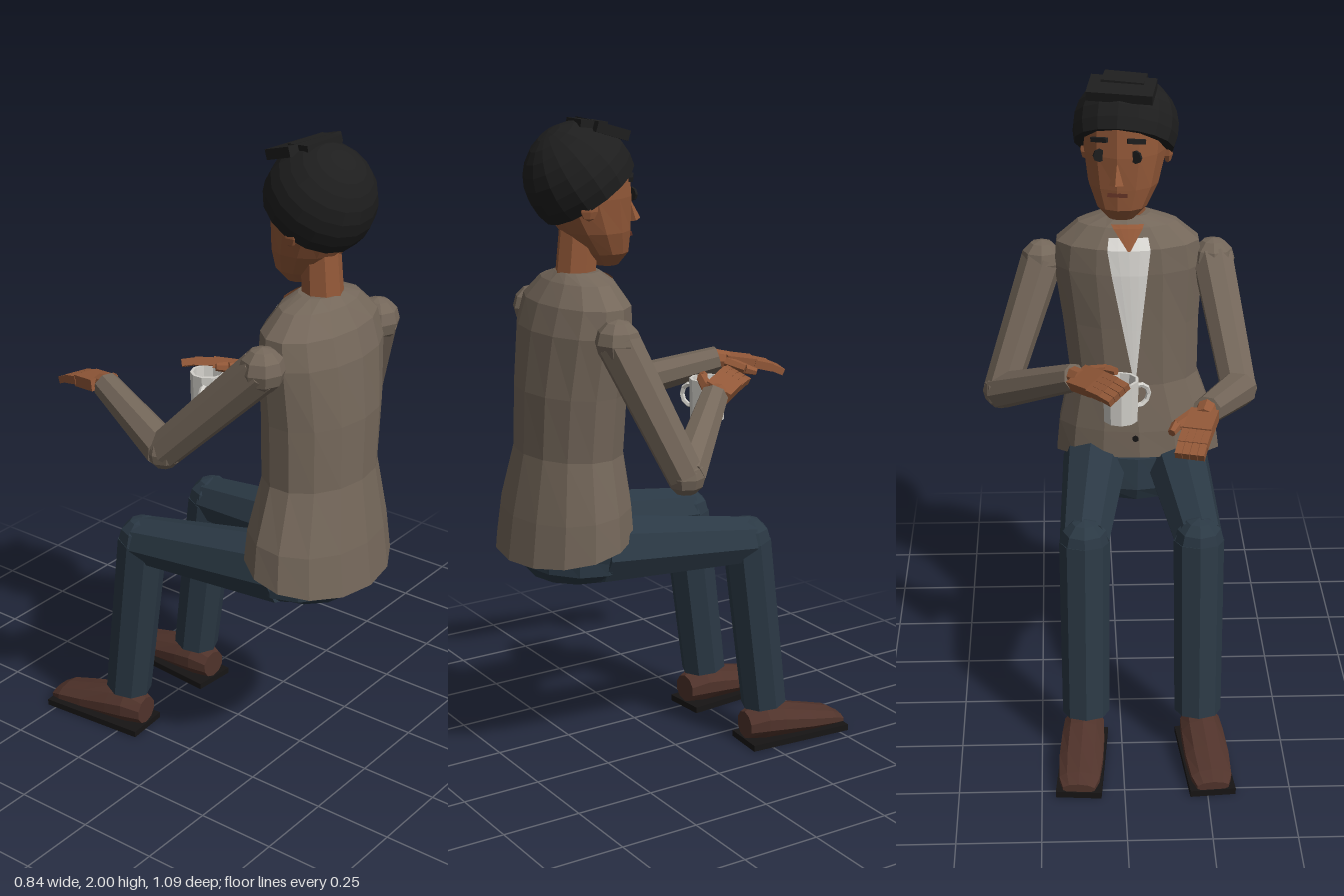
import * as THREE from 'three';

const V = (x, y, z) => new THREE.Vector3(x, y, z);
const mat = (name, color, side = THREE.FrontSide) => {
  const m = new THREE.MeshStandardMaterial({ color, side });
  m.name = name;
  return m;
};

// Torso rings: y, centre x, centre z, half width, half depth, backward tilt
const TORSO = [
  [0.75, -0.07, 0.355, 0.268, 0.19, 0.045],
  [0.86, -0.068, 0.35, 0.255, 0.178, 0.02],
  [1.03, -0.055, 0.345, 0.206, 0.15, 0],
  [1.22, -0.045, 0.342, 0.218, 0.15, 0],
  [1.40, -0.037, 0.33, 0.236, 0.142, 0],
  [1.48, -0.035, 0.32, 0.225, 0.128, 0],
  [1.54, -0.033, 0.318, 0.155, 0.09, 0],
  [1.565, -0.03, 0.32, 0.075, 0.062, 0],
];

// Depth of the torso front at a height and an offset from its middle
function torsoFront(dx, y) {
  let i = 0;
  while (i < TORSO.length - 2 && TORSO[i + 1][0] < y) i++;
  const a = TORSO[i], b = TORSO[i + 1], t = (y - a[0]) / (b[0] - a[0]);
  const [, cx, cz, rx, rz] = a.map((v, k) => v + (b[k] - v) * t);
  return V(cx + dx, y, cz - rz * Math.sqrt(Math.max(0, 1 - (dx / rx) ** 2)) - 0.004);
}

// Faceted normals
function facet(geo) {
  const g = geo.index ? geo.toNonIndexed() : geo;
  g.computeVertexNormals();
  return g;
}

// Closed skin over elliptical rings stacked along y
function loft(rings, sides) {
  const pos = [], idx = [], n = rings.length;
  for (const [y, cx, cz, rx, rz, tilt = 0] of rings)
    for (let i = 0; i < sides; i++) {
      const a = (i / sides) * Math.PI * 2;
      pos.push(cx + rx * Math.sin(a), y - tilt * Math.cos(a), cz + rz * Math.cos(a));
    }
  for (let r = 0; r < n - 1; r++)
    for (let i = 0; i < sides; i++) {
      const j = (i + 1) % sides, a = r * sides + i, b = r * sides + j;
      idx.push(a, b, a + sides, b, b + sides, a + sides);
    }
  for (let i = 1; i < sides - 1; i++) {
    const t = (n - 1) * sides;
    idx.push(0, i + 1, i, t, t + i, t + i + 1);
  }
  const g = new THREE.BufferGeometry();
  g.setAttribute('position', new THREE.Float32BufferAttribute(pos, 3));
  g.setIndex(idx);
  return facet(g);
}

export function createModel() {
  const model = new THREE.Group();
  const jacket = mat('jacket brown', 0x74675a), skin = mat('skin', 0x925838);
  const denim = mat('trouser navy', 0x2b3945), leather = mat('shoe brown', 0x50332b);
  const soleMat = mat('sole black', 0x171515), hairMat = mat('hair black', 0x1e1e1e);
  const white = mat('shirt white', 0xdcdad5, THREE.DoubleSide);
  const china = mat('cup white', 0xd2d0ca), lipMat = mat('lip brown', 0x5e3023);

  const add = (name, geo, m, parent = model, p = [0, 0, 0], r = [0, 0, 0]) => {
    const mesh = new THREE.Mesh(facet(geo), m);
    mesh.name = name;
    mesh.position.set(...p);
    mesh.rotation.set(...r);
    parent.add(mesh);
    return mesh;
  };
  const limb = (name, a, b, ra, rb, m, parent = model, sides = 8) => {
    const d = b.clone().sub(a);
    const mesh = add(name, new THREE.CylinderGeometry(rb, ra, d.length(), sides), m, parent);
    mesh.position.copy(a).addScaledVector(d, 0.5);
    mesh.quaternion.setFromUnitVectors(V(0, 1, 0), d.normalize());
  };
  const joint = (name, p, r, m, parent = model) =>
    add(name, new THREE.SphereGeometry(r, 8, 6), m, parent, p.toArray());

  // Torso, pelvis and neck
  add('jacket', loft(TORSO, 14), jacket);
  add('pelvis', loft([[0.64, -0.06, 0.32, 0.15, 0.14], [0.68, -0.062, 0.33, 0.215, 0.165],
    [0.78, -0.065, 0.335, 0.225, 0.155]], 12), denim);
  limb('neck', V(-0.03, 1.5, 0.33), V(-0.028, 1.68, 0.315), 0.062, 0.058, skin);

  // Shirt opening and bare throat: strips that hug the chest
  const strip = (name, rows, m, lift) => {
    const pos = [], idx = [], n = 4;
    rows.forEach(([y, w], r) => {
      for (let i = 0; i <= n; i++) {
        const p = torsoFront(w * (i / n * 2 - 1), y);
        pos.push(p.x, p.y, p.z - lift);
        if (r && i) {
          const c = r * (n + 1) + i, d = c - n - 1;
          idx.push(d - 1, c - 1, d, d, c - 1, c);
        }
      }
    });
    const g = new THREE.BufferGeometry();
    g.setAttribute('position', new THREE.Float32BufferAttribute(pos, 3));
    g.setIndex(idx);
    add(name, g, m);
  };
  strip('shirt', [[1.515, 0.06], [1.48, 0.066], [1.4, 0.055], [1.22, 0.028], [1.04, 0.002]], white, 0);
  const throat = mat('throat skin', 0x925838, THREE.DoubleSide);
  strip('throat', [[1.55, 0.05], [1.54, 0.045], [1.48, 0.004]], throat, 0.003);
  for (const y of [1.0, 0.93, 0.86])
    add('button', new THREE.CylinderGeometry(0.01, 0.01, 0.008, 6), soleMat, model,
      torsoFront(0.012, y).toArray(), [Math.PI / 2, 0, 0]);

  // Head, turned slightly to one side
  const head = new THREE.Group();
  head.name = 'head';
  head.position.set(-0.028, 0, 0.31);
  head.rotation.y = -0.2;
  model.add(head);
  add('face', loft([[1.577, 0, -0.08, 0.04, 0.035], [1.615, 0, -0.072, 0.078, 0.072],
    [1.68, 0, -0.045, 0.108, 0.105], [1.78, 0, -0.012, 0.128, 0.143],
    [1.88, 0, -0.002, 0.13, 0.146], [1.95, 0, 0, 0.08, 0.09]], 12), skin, head);
  add('nose', new THREE.ConeGeometry(0.022, 0.07, 4), skin, head, [0, 1.735, -0.158], [0.2, 0, 0]);
  add('mouth', new THREE.BoxGeometry(0.06, 0.012, 0.008), lipMat, head, [0, 1.665, -0.146], [0.25, 0, 0]);
  for (const s of [-1, 1]) {
    add('eye', new THREE.CylinderGeometry(0.02, 0.02, 0.008, 8), hairMat, head,
      [s * 0.055, 1.785, -0.141], [Math.PI / 2, 0, -s * 0.4]);
    add('eyebrow', new THREE.BoxGeometry(0.055, 0.014, 0.012), hairMat, head,
      [s * 0.056, 1.832, -0.138], [0, -s * 0.4, -s * 0.1]);
    const ear = add('ear', new THREE.SphereGeometry(0.035, 6, 5), skin, head, [s * 0.128, 1.765, 0.015]);
    ear.scale.set(0.45, 1.15, 0.85);
  }

  // Hair: a tilted cap that folds in to the scalp, with a raised lock on top
  const cap = [];
  for (let i = 0; i <= 8; i++) {
    const a = 1.92 * (1 - i / 8);
    cap.push(new THREE.Vector2(0.162 * Math.sin(a), 0.162 * Math.cos(a)));
  }
  cap.unshift(new THREE.Vector2(0.09, cap[0].y));
  add('hair', new THREE.LatheGeometry(cap, 16), hairMat, head, [0, 1.833, 0], [0.6, 0, 0]);
  add('hairLock', new THREE.BoxGeometry(0.2, 0.03, 0.1), hairMat, head, [0, 1.968, -0.07], [-0.3, 0, 0.03]);
  add('hairLockTop', new THREE.BoxGeometry(0.13, 0.022, 0.08), hairMat, head, [0, 1.985, -0.025], [-0.12, 0, 0.05]);

  // Arms: shoulder, elbow, wrist, finger tips; s is the thumb side, roll turns the palm
  const arm = (shoulder, elbow, wrist, tip, s, roll) => {
    joint('shoulder', shoulder, 0.068, jacket);
    limb('upperArm', shoulder, elbow, 0.066, 0.056, jacket);
    joint('elbow', elbow, 0.057, jacket);
    limb('forearm', elbow, wrist, 0.058, 0.043, jacket);
    const hand = new THREE.Group();
    hand.name = 'hand';
    hand.position.copy(wrist);
    hand.lookAt(tip);
    hand.rotateZ(roll);
    model.add(hand);
    limb('wrist', V(0, 0, -0.02), V(0, 0, 0.035), 0.033, 0.03, skin, hand);
    add('palm', new THREE.BoxGeometry(0.082, 0.036, 0.1), skin, hand, [0, 0.004, 0.07]);
    for (let i = 0; i < 4; i++) {
      const x = (i - 1.5) * 0.0215;
      add('finger', new THREE.BoxGeometry(0.021, 0.026, 0.062), skin, hand, [x, 0.003, 0.145], [0.08, 0, 0]);
      add('fingerTip', new THREE.BoxGeometry(0.02, 0.022, 0.05), skin, hand, [x, -0.004, 0.192], [0.25, 0, 0]);
    }
    limb('thumb', V(s * 0.03, 0, 0.02), V(s * 0.07, -0.008, 0.075), 0.02, 0.017, skin, hand, 6);
    limb('thumbTip', V(s * 0.07, -0.008, 0.075), V(s * 0.077, -0.012, 0.11), 0.017, 0.012, skin, hand, 6);
  };
  arm(V(-0.3, 1.41, 0.315), V(-0.362, 1.1, 0.01), V(-0.24, 1.175, -0.315), V(-0.175, 1.135, -0.53), -1, 0);
  arm(V(0.232, 1.4, 0.34), V(0.365, 1.02, 0.2), V(0.135, 1.17, -0.05), V(0.015, 1.195, -0.22), 1, 0.45);

  // Cup: hollow, with a handle
  const cup = new THREE.Group();
  cup.name = 'cup';
  cup.position.set(0, 1.06, -0.115);
  model.add(cup);
  const wall = [[0, 0], [0.052, 0], [0.055, 0.13], [0.046, 0.13], [0.044, 0.095], [0, 0.095]];
  add('cupBody', new THREE.LatheGeometry(wall.map(p => new THREE.Vector2(...p)), 10), china, cup);
  add('cupHandle', new THREE.TorusGeometry(0.034, 0.008, 5, 10), china, cup, [-0.054, 0.068, 0.023], [0, 0.4, 0]);

  // Legs and shoes
  const leg = (hipX, kneeX, shoeX, yaw) => {
    const hip = V(hipX, 0.738, 0.32), knee = V(kneeX, 0.688, -0.19);
    joint('hip', hip, 0.1, denim);
    limb('thigh', hip, knee, 0.107, 0.076, denim);
    joint('knee', knee, 0.076, denim);
    limb('shin', knee, V(kneeX, 0.13, -0.262), 0.077, 0.072, denim);
    const shoe = new THREE.Group();
    shoe.name = 'shoe';
    shoe.position.set(shoeX, 0, -0.19);
    shoe.rotation.y = yaw;
    model.add(shoe);
    const upper = loft([[0, 0, 0.065, 0.045, 0.045], [0.06, 0, 0.072, 0.064, 0.06],
      [0.12, 0, 0.066, 0.068, 0.055], [0.22, 0, 0.052, 0.07, 0.042],
      [0.31, 0, 0.04, 0.064, 0.028], [0.345, 0, 0.03, 0.05, 0.016]], 10);
    add('shoeUpper', upper.rotateX(-Math.PI / 2), leather, shoe);
    add('sole', new THREE.BoxGeometry(0.138, 0.02, 0.352), soleMat, shoe, [0, 0.01, -0.172]);
  };
  leg(-0.19, -0.235, -0.238, 0.08);
  leg(0.066, 0.112, 0.112, -0.08);

  return model;
}
